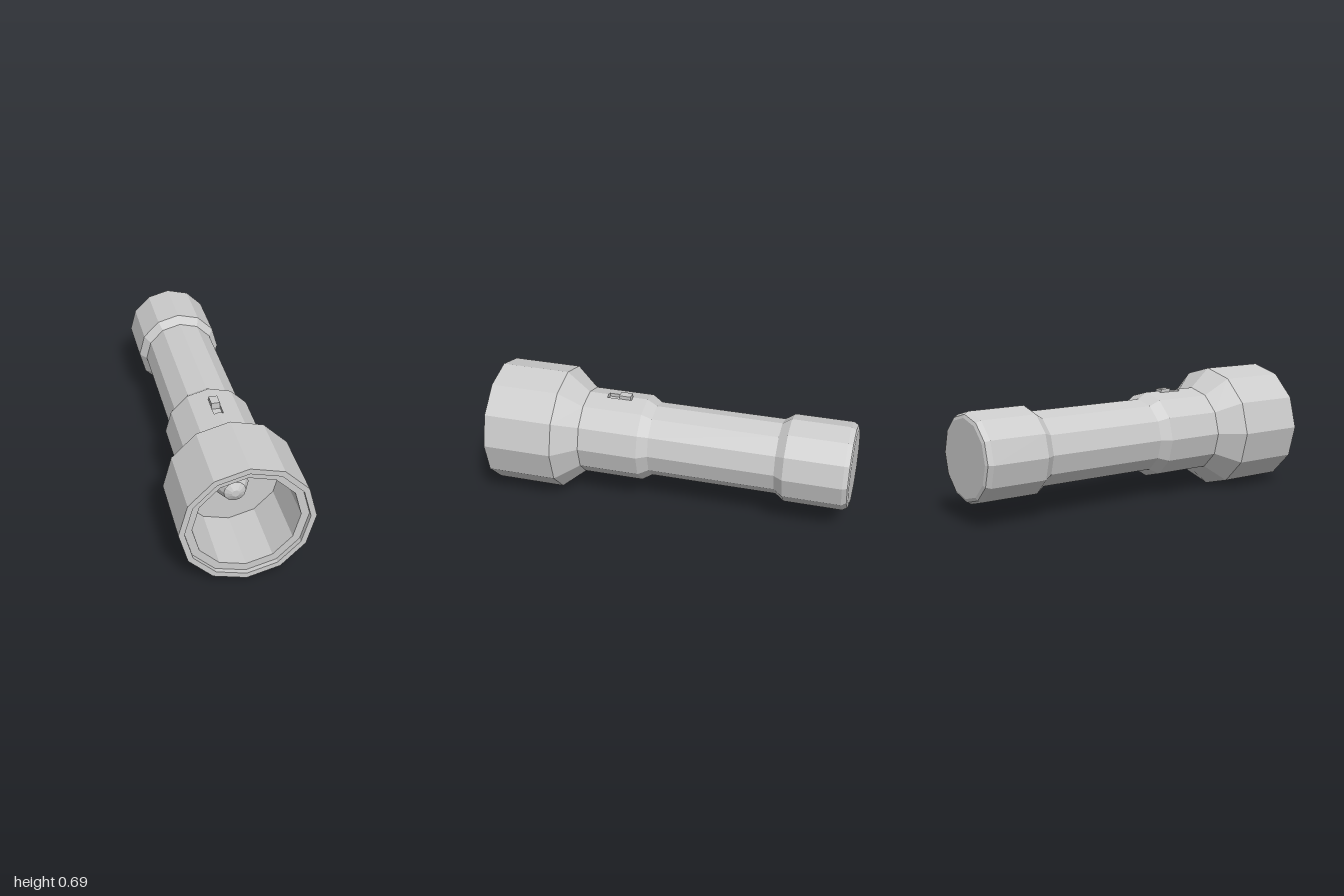
import * as THREE from 'three';

const SIDES = 12;
const AXIS_Y = 0.345; // height of the torch axis

export function createModel() {
  const group = new THREE.Group();
  const grey = new THREE.MeshStandardMaterial({ color: 0xcccccc, flatShading: true });
  grey.name = 'grey';

  const add = (name, geometry) => {
    const mesh = new THREE.Mesh(geometry, grey);
    mesh.name = name;
    mesh.position.y = AXIS_Y;
    group.add(mesh);
  };

  // Faceted turning around the z axis; profile is [radius, z] from back to front
  const turned = (name, profile, sides = SIDES, start = 0) => {
    const pts = profile.map(([r, z]) => new THREE.Vector2(r, z));
    const geo = new THREE.LatheGeometry(pts, sides, start, (sides / SIDES) * Math.PI * 2);
    add(name, geo.rotateX(Math.PI / 2));
  };

  // Tail cap, waist of the handle and the flare up to the switch collar
  turned('tailCap', [[0, -1], [0.208, -1], [0.226, -0.993], [0.24, -0.967], [0.24, -0.65], [0.206, -0.6]]);
  turned('handle', [[0.206, -0.6], [0.206, 0.1], [0.24, 0.155]]);

  // Switch collar, leaving out the two top facets
  turned('collar', [[0.24, 0.155], [0.24, 0.49]], 10, Math.PI * 7 / 6);

  // Top facets of the collar, with a slot cut through the ridge
  const ridge = [[-0.12, 0.2078], [0.12, 0.2078], [0, 0.24]];
  const slotted = [[-0.12, 0.2078], [0.12, 0.2078], [0.025, 0.2333], [0.025, 0.215], [-0.025, 0.215], [-0.025, 0.2333]];
  const roof = (name, section, z0, z1) => {
    const shape = new THREE.Shape(section.map(([x, y]) => new THREE.Vector2(x, y)));
    const geo = new THREE.ExtrudeGeometry(shape, { depth: z1 - z0, bevelEnabled: false });
    add(name, geo.translate(0, 0, z0));
  };
  roof('collarTopBack', ridge, 0.155, 0.24);
  roof('switchSlot', slotted, 0.24, 0.38);
  roof('collarTopFront', ridge, 0.38, 0.49);

  // Sliding switch button at the back of the slot
  add('switchButton', new THREE.BoxGeometry(0.046, 0.042, 0.065).translate(0, 0.231, 0.278));

  // Head: flare, barrel, stepped rim and hollow cup
  turned('head', [
    [0.24, 0.49], [0.345, 0.615], [0.345, 1], [0.315, 1], [0.315, 0.975],
    [0.273, 0.975], [0.273, 0.62], [0, 0.62],
  ]);

  // Bulb on the floor of the cup
  turned('bulb', [[0.06, 0.62], [0.088, 0.67], [0.058, 0.736], [0.02, 0.755], [0, 0.755]]);

  return group;
}
